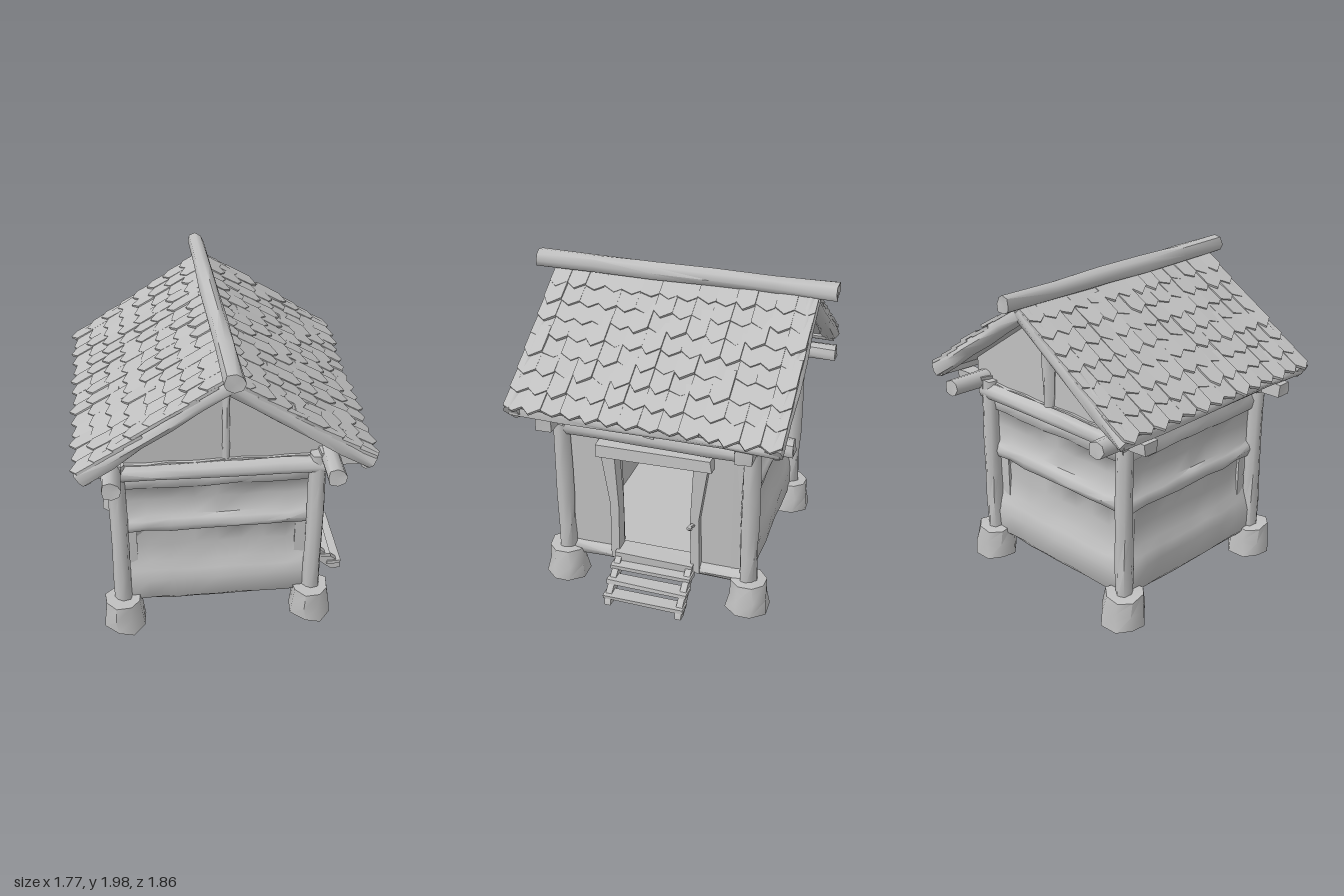
import * as THREE from 'three';
import { toCreasedNormals } from 'three/addons/utils/BufferGeometryUtils.js';

const stone = new THREE.MeshStandardMaterial({ color: 0xc0c0c0 });
stone.name = 'plain grey';
const V = (x, y, z) => new THREE.Vector3(x, y, z);

// repeatable noise from a position, so shared corners move together
const hash = (a, b, c) => {
  const s = Math.sin(Math.round(a * 1000) * 12.9898 + Math.round(b * 1000) * 78.233 + Math.round(c * 1000) * 37.719) * 43758.5453;
  return (s - Math.floor(s)) * 2 - 1;
};

function wobble(geo, amount) {
  const p = geo.attributes.position;
  for (let i = 0; i < p.count; i++) {
    const [x, y, z] = [p.getX(i), p.getY(i), p.getZ(i)];
    p.setXYZ(i, x + amount * hash(x, y, z), y + amount * hash(y, z, x + 3), z + amount * hash(z, x + 5, y));
  }
  return geo;
}

function add(parent, name, geo, crease = 0.8) {
  const mesh = new THREE.Mesh(toCreasedNormals(geo, crease), stone);
  mesh.name = name;
  parent.add(mesh);
  return mesh;
}

function box(parent, name, x0, x1, y0, y1, z0, z1, rough = 0.006) {
  const geo = new THREE.BoxGeometry(x1 - x0, y1 - y0, z1 - z0);
  geo.translate((x0 + x1) / 2, (y0 + y1) / 2, (z0 + z1) / 2);
  return add(parent, name, wobble(geo, rough));
}

// rough round timber between two points
function log(parent, name, a, b, r0, r1 = r0, sides = 8) {
  const dir = b.clone().sub(a);
  const geo = wobble(new THREE.CylinderGeometry(r1, r0, dir.length(), sides, 5), 0.006);
  const mesh = add(parent, name, geo, 1.0);
  mesh.position.copy(a).add(b).multiplyScalar(0.5);
  mesh.quaternion.setFromUnitVectors(V(0, 1, 0), dir.normalize());
  return mesh;
}

function extrude(points, depth, hole, steps = 1) {
  const shape = new THREE.Shape(points.map(p => new THREE.Vector2(...p)));
  if (hole) shape.holes.push(new THREE.Path(hole.map(p => new THREE.Vector2(...p))));
  return new THREE.ExtrudeGeometry(shape, { depth, bevelEnabled: false, steps });
}

// plank wall section: outward offset against height
const wallProfile = [
  [-0.08, 0.155], [0.01, 0.155], [0.04, 0.19], [0.045, 0.33], [0.03, 0.4], [0, 0.45], [-0.015, 0.58], [-0.005, 0.71],
  [0.03, 0.72], [0.045, 0.76], [0.03, 0.8], [0.005, 0.82], [0, 0.94], [0.01, 1.03], [0.035, 1.05], [0.04, 1.11],
  [0.03, 1.14], [0.03, 1.22], [-0.08, 1.22],
];

function wall(parent, name, x, z, turn, length) {
  const geo = extrude(wallProfile, length, null, 8);
  geo.translate(0, 0, -length / 2);
  const mesh = add(parent, name, wobble(geo, 0.007), 1.1);
  mesh.position.set(x, 0, z);
  mesh.rotation.y = turn;
}

// one roof slope in its own frame: x along the ridge, y down the slope, z outward
function roofSide(parent, name, turn, seed) {
  const side = new THREE.Group();
  side.name = name;
  const pitch = 0.588;
  const c = Math.cos(pitch), s = Math.sin(pitch);
  const frame = new THREE.Group();
  frame.quaternion.setFromRotationMatrix(new THREE.Matrix4().makeBasis(V(0, 0, 1), V(c, -s, 0), V(s, c, 0)));
  frame.position.y = 1.875;
  side.add(frame);
  side.rotation.y = turn;
  box(frame, 'roofDeck', -0.81, 0.81, 0, 0.99, -0.055, 0, 0.003);

  // overlapping courses of single pointed shingles, each lying a little unevenly
  const rows = 8, count = 14, w = 1.64 / count;
  for (let i = 0; i < rows; i++) {
    const tail = 1.0 - i * 0.125;
    const length = Math.min(0.19, tail);
    for (let k = 0; k < count; k++) {
      const r = hash(k, i, seed), q = hash(i + 9, seed, k);
      const geo = extrude([[-w / 2, -length], [w / 2, -length], [w / 2, -0.01 + 0.01 * q], [0.02 * r, 0.03 + 0.012 * r], [-w / 2, -0.01]], 0.018);
      const shingle = add(frame, 'shingle', geo);
      shingle.position.set((k + 0.5) * w - 0.82, tail, 0.012 + 0.005 * r);
      shingle.rotation.set(0.07 + 0.03 * q, 0.07 * r, 0);
    }
  }

  // round barge timbers along both gable edges, and the eave timber joining them
  for (const z of [-0.775, 0.775]) {
    log(side, 'bargeTimber', V(0.0, 1.845, z), V(0.825, 1.29, z), 0.056);
  }
  log(side, 'eaveTimber', V(0.79, 1.295, -0.8), V(0.79, 1.295, 0.8), 0.04);
  parent.add(side);
}

export function createModel() {
  const model = new THREE.Group();
  model.name = 'storehouse';

  // hollow room with plank walls
  box(model, 'floor', -0.6, 0.53, 0.16, 0.25, -0.55, 0.55, 0);
  box(model, 'ceiling', -0.6, 0.53, 1.18, 1.21, -0.55, 0.55, 0);
  wall(model, 'frontWall', -0.03, 0.56, -Math.PI / 2, 1.14);
  wall(model, 'backWall', -0.03, -0.56, Math.PI / 2, 1.14);
  wall(model, 'rightWall', -0.6, 0, Math.PI, 1.12);

  // entrance wall with the doorway cut through
  const doorWall = extrude(
    [[-0.56, 0.16], [0.56, 0.16], [0.56, 1.22], [-0.56, 1.22]], 0.09,
    [[-0.25, 0.25], [-0.25, 0.97], [0.25, 0.97], [0.25, 0.25]]);
  const entrance = add(model, 'entranceWall', doorWall);
  entrance.rotation.y = Math.PI / 2;
  entrance.position.x = 0.45;
  log(model, 'entranceSill', V(0.53, 0.21, -0.56), V(0.53, 0.21, 0.56), 0.05);
  log(model, 'entranceTopRail', V(0.54, 1.1, -0.56), V(0.54, 1.1, 0.56), 0.06);

  // door frame with jambs leaning out at the top, handle and threshold
  for (const side of [-1, 1]) {
    const jamb = extrude([[0.235, 0.2], [0.29, 0.2], [0.285, 0.6], [0.34, 0.98], [0.25, 0.98], [0.23, 0.6]]
      .map(([z, y]) => [-z * side, y]), 0.09);
    const mesh = add(model, 'doorJamb', jamb);
    mesh.rotation.y = Math.PI / 2;
    mesh.position.x = 0.5;
  }
  box(model, 'doorLintel', 0.5, 0.61, 0.955, 1.03, -0.36, 0.36, 0.01);
  box(model, 'threshold', 0.48, 0.62, 0.2, 0.265, -0.25, 0.25);
  log(model, 'doorHandle', V(0.57, 0.56, -0.25), V(0.65, 0.565, -0.24), 0.015, 0.012, 6);

  // corner posts on tapered stone feet
  for (const x of [-0.625, 0.56]) {
    for (const z of [-0.595, 0.595]) {
      log(model, 'cornerPost', V(x, 0.18, z), V(x, 1.24, z), 0.055, 0.052);
      const foot = new THREE.CylinderGeometry(0.125, 0.15, 0.2, 8, 2);
      foot.rotateY(Math.PI / 8);
      foot.scale(0.93, 1, 0.93);
      const mesh = add(model, 'stoneFoot', wobble(foot, 0.012), 1.0);
      mesh.position.set(x, 0.113, z * 1.01);
    }
  }

  // eave plates and tie beams crossing at the corners with long ends
  for (const x of [-0.655, 0.62]) {
    log(model, 'eavePlate', V(x, 1.23, -0.845), V(x, 1.23, 0.845), 0.055);
  }
  for (const z of [-0.6, 0.6]) {
    log(model, 'tieBeam', V(-0.66, 1.165, z), V(0.6, 1.165, z), 0.05);
    box(model, 'tieBeamEnd', -0.83, -0.6, 1.18, 1.26, z - 0.05, z + 0.05);
    box(model, 'tieBeamEnd', 0.56, 0.8, 1.18, 1.26, z - 0.05, z + 0.05);
  }
  box(model, 'eaveBracket', 0.52, 0.67, 1.17, 1.26, -0.03, 0.03);

  // gable walls with king posts
  for (const z of [-0.57, 0.52]) {
    const gable = extrude([[-0.7, 1.18], [0.7, 1.18], [0.7, 1.35], [0, 1.82], [-0.7, 1.35]], 0.05);
    add(model, 'gableWall', gable).position.z = z;
  }
  log(model, 'frontKingPost', V(0.015, 1.18, 0.56), V(0.015, 1.82, 0.56), 0.025);
  log(model, 'backKingPost', V(0.01, 1.18, -0.575), V(0.01, 1.82, -0.575), 0.035, 0.06);

  // roof slopes and ridge timber
  roofSide(model, 'leftRoof', 0, 1);
  roofSide(model, 'rightRoof', Math.PI, 2);
  log(model, 'ridgeTimber', V(-0.025, 1.92, -0.925), V(0.02, 1.935, 0.925), 0.054, 0.058);

  // entrance steps
  const steps = new THREE.Group();
  steps.name = 'steps';
  for (const z of [-0.23, 0.23]) {
    const stringer = extrude([[0.56, 0.2], [0.78, 0.01], [0.84, 0.02], [0.83, 0.07], [0.6, 0.26]], 0.04);
    add(steps, 'stringer', stringer).position.z = z - 0.02;
  }
  for (const [x, y] of [[0.64, 0.2], [0.72, 0.14], [0.79, 0.075]]) {
    box(steps, 'tread', x - 0.045, x + 0.045, y - 0.015, y + 0.012, -0.26, 0.26, 0.004);
  }
  model.add(steps);

  return model;
}
